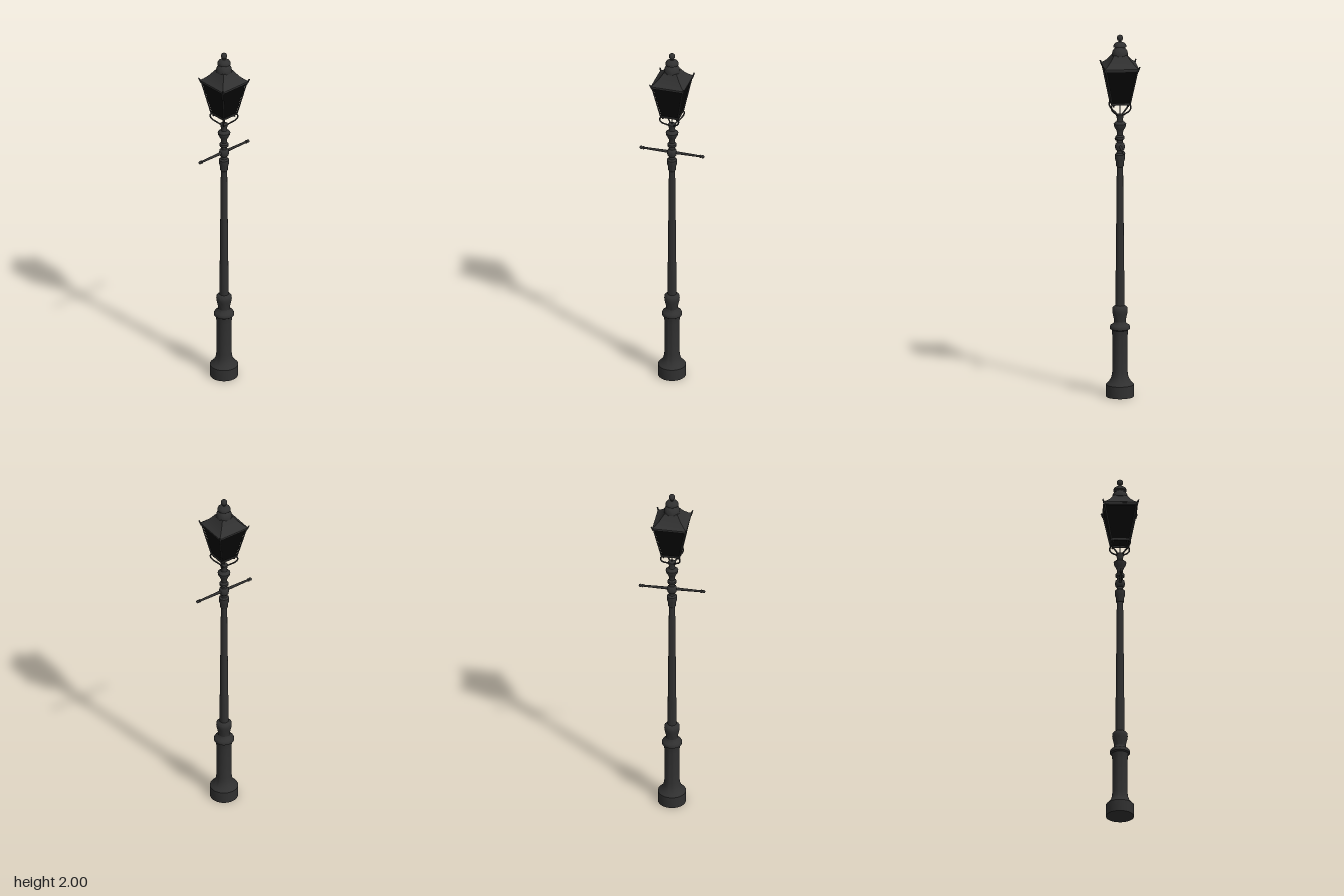
import * as THREE from 'three';
import { toCreasedNormals } from 'three/addons/utils/BufferGeometryUtils.js';

export function createModel() {
  const model = new THREE.Group();
  const iron = new THREE.MeshStandardMaterial({ color: 0x303030 });
  iron.name = 'cast iron';
  const glass = new THREE.MeshStandardMaterial({ color: 0x060606 });
  glass.name = 'dark glass';

  const add = (name, geometry, material = iron, parent = model) => {
    const mesh = new THREE.Mesh(geometry, material);
    mesh.name = name;
    parent.add(mesh);
    return mesh;
  };
  const points = list => list.map(([r, y]) => new THREE.Vector2(r, y));
  // Turned round part, profile listed from bottom to top
  const turned = (list, sides = 24) =>
    toCreasedNormals(new THREE.LatheGeometry(points(list), sides), 0.7);
  // Square part, r is the half width of the square
  const square = list => {
    const corners = list.map(([r, y]) => [r * Math.SQRT2, y]);
    return toCreasedNormals(new THREE.LatheGeometry(points(corners), 4, Math.PI / 4), 0.5);
  };
  // Straight bar between two points
  const bar = (name, a, b, ra, rb, parent) => {
    const dir = b.clone().sub(a);
    const mesh = add(name, new THREE.CylinderGeometry(rb, ra, dir.length(), 8), iron, parent);
    mesh.position.copy(a).add(b).multiplyScalar(0.5);
    mesh.quaternion.setFromUnitVectors(new THREE.Vector3(0, 1, 0), dir.normalize());
    return mesh;
  };
  const V = (x, y, z) => new THREE.Vector3(x, y, z);

  // Pedestal
  add('base', turned([[0, 0], [0.076, 0], [0.076, 0.066], [0.07, 0.072], [0.06, 0.082],
    [0.05, 0.098], [0.045, 0.112], [0.041, 0.14], [0.041, 0.33], [0.043, 0.355], [0.045, 0.368],
    [0.054, 0.374], [0.055, 0.384], [0.05, 0.394], [0.036, 0.402], [0.031, 0.415]], 32));
  add('baseBulb', turned([[0.031, 0.41], [0.033, 0.43], [0.04, 0.46], [0.042, 0.475],
    [0.041, 0.49], [0.035, 0.497], [0.025, 0.503]]));

  // Tapered column
  add('column', turned([[0.025, 0.49], [0.023, 0.7], [0.017, 1.28]], 16));

  // Turned collars above the column
  add('collars', turned([[0.017, 1.27], [0.021, 1.275], [0.021, 1.295], [0.026, 1.31],
    [0.027, 1.325], [0.027, 1.338], [0.018, 1.346], [0.017, 1.36], [0.025, 1.368],
    [0.027, 1.385], [0.024, 1.398], [0.016, 1.405], [0.016, 1.418], [0.024, 1.424],
    [0.024, 1.437], [0.016, 1.446], [0.017, 1.465], [0.023, 1.478], [0.033, 1.497],
    [0.034, 1.508], [0.028, 1.514], [0.018, 1.522], [0.016, 1.535], [0.02, 1.548],
    [0.021, 1.56], [0, 1.563]]));

  // Ladder rest: two tapered arms with knobs, front and back
  const ladderRest = new THREE.Group();
  ladderRest.name = 'ladderRest';
  model.add(ladderRest);
  for (const s of [-1, 1]) {
    bar('arm', V(0, 1.385, 0), V(0, 1.385, s * 0.165), 0.0085, 0.0055, ladderRest);
    bar('armRing', V(0, 1.385, s * 0.158), V(0, 1.385, s * 0.164), 0.009, 0.009, ladderRest);
    add('knob', new THREE.SphereGeometry(0.009, 14, 10), iron, ladderRest)
      .position.set(0, 1.385, s * 0.173);
  }

  // Lantern: glass body, square rims, corner bars
  const lantern = new THREE.Group();
  lantern.name = 'lantern';
  model.add(lantern);
  add('glass', square([[0, 1.628], [0.046, 1.628], [0.084, 1.822]]), glass, lantern);
  add('bottomRim', square([[0.046, 1.62], [0.051, 1.62], [0.052, 1.63], [0.047, 1.63], [0.046, 1.62]]),
    iron, lantern);
  add('topRim', square([[0.08, 1.813], [0.089, 1.813], [0.093, 1.825], [0.08, 1.825]]), iron, lantern);

  // Gas pipe between column and lantern
  bar('gasPipe', V(0, 1.555, 0), V(0, 1.63, 0), 0.003, 0.003, lantern);

  for (let i = 0; i < 4; i++) {
    const corner = new THREE.Group();
    corner.name = 'corner';
    corner.rotation.y = Math.PI / 4 + i * Math.PI / 2;
    lantern.add(corner);
    bar('cornerBar', V(0.069, 1.624, 0), V(0.123, 1.822, 0), 0.004, 0.004, corner);
    // Upturned spike at each roof corner
    bar('cornerSpike', V(0.122, 1.814, 0), V(0.137, 1.841, 0), 0.006, 0.0035, corner);
    // Curved bracket with a small scroll at the top
    const path = new THREE.CatmullRomCurve3([V(0.014, 1.553, 0), V(0.034, 1.567, 0),
      V(0.058, 1.583, 0), V(0.073, 1.601, 0), V(0.073, 1.617, 0), V(0.062, 1.624, 0),
      V(0.053, 1.616, 0), V(0.058, 1.608, 0)]);
    add('bracket', new THREE.TubeGeometry(path, 28, 0.0042, 8), iron, corner);
  }

  // Concave square roof
  add('roof', square([[0, 1.822], [0.093, 1.822], [0.093, 1.828], [0.076, 1.841],
    [0.058, 1.86], [0.044, 1.88], [0.036, 1.893], [0, 1.893]]), iron, lantern);

  // Vented chimney and ball finial
  add('chimney', turned([[0.036, 1.885], [0.043, 1.888], [0.043, 1.896], [0.04, 1.91],
    [0.033, 1.922], [0.024, 1.928], [0.022, 1.934], [0.036, 1.934], [0.036, 1.939],
    [0.031, 1.95], [0.021, 1.957], [0.009, 1.961], [0.007, 1.972], [0, 1.974]]), iron, lantern);
  add('finial', new THREE.SphereGeometry(0.0175, 20, 14), iron, lantern).position.y = 1.9825;

  return model;
}
